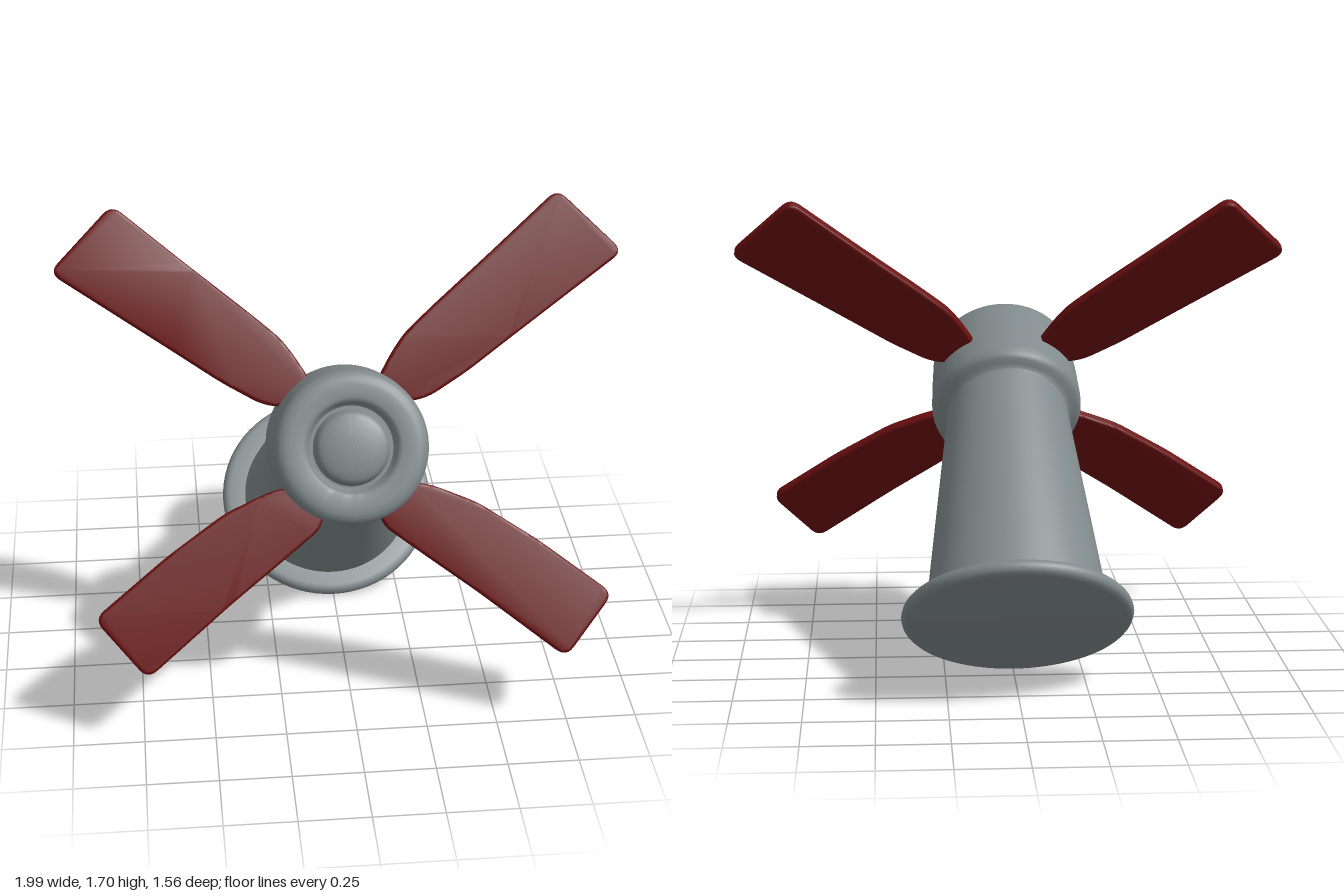
import * as THREE from 'three';
import { toCreasedNormals } from 'three/addons/utils/BufferGeometryUtils.js';

const SEG = 72;
const rad = THREE.MathUtils.degToRad;

// circle section: centre (z, y), pitch in degrees, radius, offset along its normal
const section = (z, y, deg, r, off = 0) => {
  const a = rad(deg);
  return { z: z + off * Math.cos(a), y: y + off * Math.sin(a), a, r };
};

// skin a surface over a row of tilted circles
function loft(name, sections, material) {
  const pos = [], idx = [];
  sections.forEach((s, i) => {
    for (let j = 0; j < SEG; j++) {
      const t = (j / SEG) * Math.PI * 2, v = s.r * Math.sin(t);
      pos.push(s.r * Math.cos(t), s.y + v * Math.cos(s.a), s.z - v * Math.sin(s.a));
      if (i === sections.length - 1) continue;
      const k = (j + 1) % SEG, a = i * SEG, b = a + SEG;
      idx.push(a + j, a + k, b + k, a + j, b + k, b + j);
    }
  });
  const g = new THREE.BufferGeometry();
  g.setAttribute('position', new THREE.Float32BufferAttribute(pos, 3));
  g.setIndex(idx);
  const mesh = new THREE.Mesh(toCreasedNormals(g, rad(40)), material);
  mesh.name = name;
  return mesh;
}

// closed outline with softened corners
function roundedShape(pts, r) {
  const s = new THREE.Shape();
  const p = pts.map(([x, y]) => new THREE.Vector2(x, y)), n = p.length;
  p.forEach((c, i) => {
    const toward = q => {
      const d = q.clone().sub(c);
      return c.clone().add(d.setLength(Math.min(r, d.length() * 0.4)));
    };
    const a = toward(p[(i + n - 1) % n]), b = toward(p[(i + 1) % n]);
    if (i) s.lineTo(a.x, a.y); else s.moveTo(a.x, a.y);
    s.quadraticCurveTo(c.x, c.y, b.x, b.y);
  });
  s.closePath();
  return s;
}

// blade outline is given as projected x, y and laid on the tilted plane
function blade(name, pts, y0, z0, side, material) {
  const tilt = rad(28.8), bevel = 0.01, thick = 0.04;
  const flat = pts.map(([x, y]) => [side * x, (y - y0) / Math.cos(tilt)]);
  const g = new THREE.ExtrudeGeometry(roundedShape(flat, 0.045), {
    depth: thick - 2 * bevel, bevelEnabled: true, bevelSize: bevel,
    bevelThickness: bevel, bevelOffset: -bevel, bevelSegments: 3, curveSegments: 6,
  });
  g.translate(0, 0, bevel - thick / 2);
  const mesh = new THREE.Mesh(toCreasedNormals(g, rad(35)), material);
  mesh.rotation.x = -tilt;
  mesh.position.set(0, y0, z0);
  mesh.name = name;
  return mesh;
}

export function createModel() {
  const grey = new THREE.MeshStandardMaterial({ color: 0x80898b });
  grey.name = 'grey';
  const red = new THREE.MeshStandardMaterial({ color: 0x6a0e0f });
  red.name = 'darkRed';
  const model = new THREE.Group();
  model.name = 'propeller';

  // round flange at the rear
  const flange = [[0.001, -0.028], [0.38, -0.028], [0.396, -0.024], [0.405, -0.014], [0.409, 0],
    [0.405, 0.014], [0.396, 0.024], [0.38, 0.028], [0.3, 0.028]]
    .map(([r, off]) => section(-0.455, 0.294, 49.1, r, off));
  model.add(loft('rearFlange', flange, grey));

  // tapering stem that bends from flange to neck
  const stem = [], L = THREE.MathUtils.lerp;
  for (let i = 0; i <= 12; i++) {
    const t = i / 12;
    stem.push(section(L(-0.443, 0.2, t), L(0.302, 0.877, t), L(49.1, 26.2, t), L(0.324, 0.226, t)));
  }
  model.add(loft('stem', stem, grey));

  // head: shoulder fillet, barrel, rounded rim, groove and dome
  const head = [
    section(0.2, 0.877, 26.2, 0.226),
    section(0.209, 0.882, 27, 0.231),
    section(0.218, 0.887, 28, 0.244),
    section(0.227, 0.892, 28.5, 0.261),
    section(0.238, 0.899, 29, 0.273),
    section(0.255, 0.907, 29, 0.279),
    section(0.28, 0.919, 28.5, 0.28),
    section(0.4, 0.977, 27.5, 0.275),
  ];
  const front = [[0.268, -0.035], [0.265, -0.014], [0.258, 0.002], [0.247, 0.013], [0.232, 0.019],
    [0.215, 0.021], [0.172, 0.021], [0.162, 0.018], [0.155, 0.008], [0.149, -0.012], [0.143, -0.018],
    [0.134, -0.018], [0.129, -0.012], [0.126, 0.01], [0.121, 0.023], [0.11, 0.031], [0.085, 0.038],
    [0.045, 0.044], [0.001, 0.046]];
  head.push(...front.map(([r, off]) => section(0.545, 1.045, 26.3, r, off)));
  model.add(loft('head', head, grey));

  // four blades, mirrored left and right
  const upper = [[0.1, 1.13], [0.17, 1.235], [0.22, 1.295], [0.33, 1.38], [0.54, 1.535], [0.785, 1.72],
    [1.01, 1.52], [0.6, 1.27], [0.43, 1.165], [0.29, 1.092], [0.2, 1.08]];
  const lower = [[0.1, 0.83], [0.2, 0.862], [0.28, 0.85], [0.44, 0.79], [0.65, 0.665], [0.905, 0.49],
    [0.73, 0.302], [0.43, 0.515], [0.22, 0.655], [0.1, 0.737]];
  for (const [side, label] of [[1, 'left'], [-1, 'right']]) {
    model.add(blade(label + 'UpperBlade', upper, 1.104, 0.283, side, red));
    model.add(blade(label + 'LowerBlade', lower, 0.833, 0.49, side, red));
  }
  return model;
}
